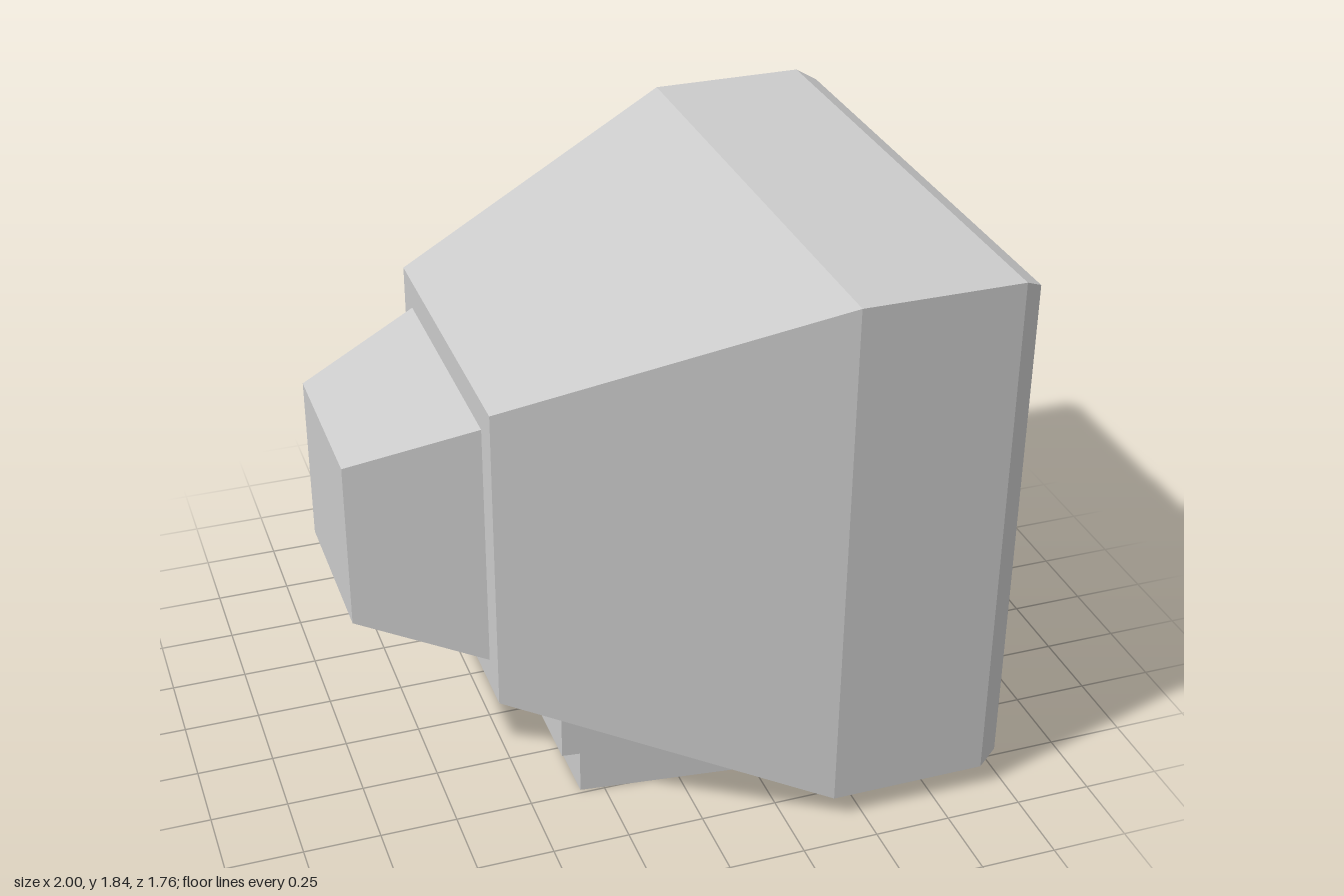
import * as THREE from 'three';

const material = new THREE.MeshStandardMaterial({ color: 0xcccccc, flatShading: true });
const CENTRE_Y = 0.957;

function addMesh(parent, name, geometry, x = 0, y = 0, z = 0) {
  const mesh = new THREE.Mesh(geometry, material);
  mesh.name = name;
  mesh.position.set(x, y, z);
  parent.add(mesh);
  return mesh;
}

// Square sections [half side, x] lofted along the x axis: a four-sided lathe laid on its side.
function squareLoft(sections) {
  const points = sections.map(([half, x]) => new THREE.Vector2(half * Math.SQRT2, x));
  const smooth = new THREE.LatheGeometry(points, 4, Math.PI / 4);
  smooth.rotateZ(-Math.PI / 2);
  const flat = smooth.toNonIndexed();
  flat.computeVertexNormals();
  return flat;
}

// Horizontal slab that widens from the back (x0) to the front (x1).
function taperedSlab(x0, half0, x1, half1, height) {
  const shape = new THREE.Shape([
    new THREE.Vector2(x0, -half0),
    new THREE.Vector2(x1, -half1),
    new THREE.Vector2(x1, half1),
    new THREE.Vector2(x0, half0),
  ]);
  const geometry = new THREE.ExtrudeGeometry(shape, { depth: height, bevelEnabled: false });
  return geometry.rotateX(-Math.PI / 2);
}

export function createModel() {
  const monitor = new THREE.Group();
  monitor.name = 'monitor';

  // Casing: tapered back, straight shell, chamfered bezel and recessed screen opening
  addMesh(monitor, 'casing', squareLoft([
    [0, -0.6], [0.517, -0.6], [0.879, 0.4], [0.879, 0.917],
    [0.846, 0.98], [0.644, 0.98], [0.644, 0.935],
  ]), 0, CENTRE_Y);

  // Screen at the bottom of the recess
  const screen = new THREE.PlaneGeometry(1.288, 1.288).rotateY(Math.PI / 2);
  addMesh(monitor, 'screen', screen, 0.935, CENTRE_Y);

  // Rear tube housing
  addMesh(monitor, 'tubeHousing', squareLoft([
    [0, -1], [0.28, -1], [0.418, -0.6], [0, -0.6],
  ]), 0, CENTRE_Y);

  // Stand: swivel block reaching into the casing, base and front lip
  const stand = new THREE.Group();
  stand.name = 'stand';
  monitor.add(stand);
  addMesh(stand, 'swivelBlock', taperedSlab(-0.405, 0.54, 0.4, 0.635, 0.3), 0, 0.2);
  addMesh(stand, 'base', taperedSlab(-0.328, 0.485, 0.903, 0.63, 0.2));
  addMesh(stand, 'baseLip', taperedSlab(0.903, 0.63, 0.945, 0.63, 0.045));

  // Control buttons: [centre z, width]
  const buttons = new THREE.Group();
  buttons.name = 'buttons';
  monitor.add(buttons);
  for (const [z, width] of [[-0.42, 0.078], [-0.501, 0.078], [-0.582, 0.078], [-0.682, 0.074]]) {
    addMesh(buttons, 'button', new THREE.BoxGeometry(0.03, 0.02, width), 0.985, 0.2, z);
  }

  return monitor;
}
